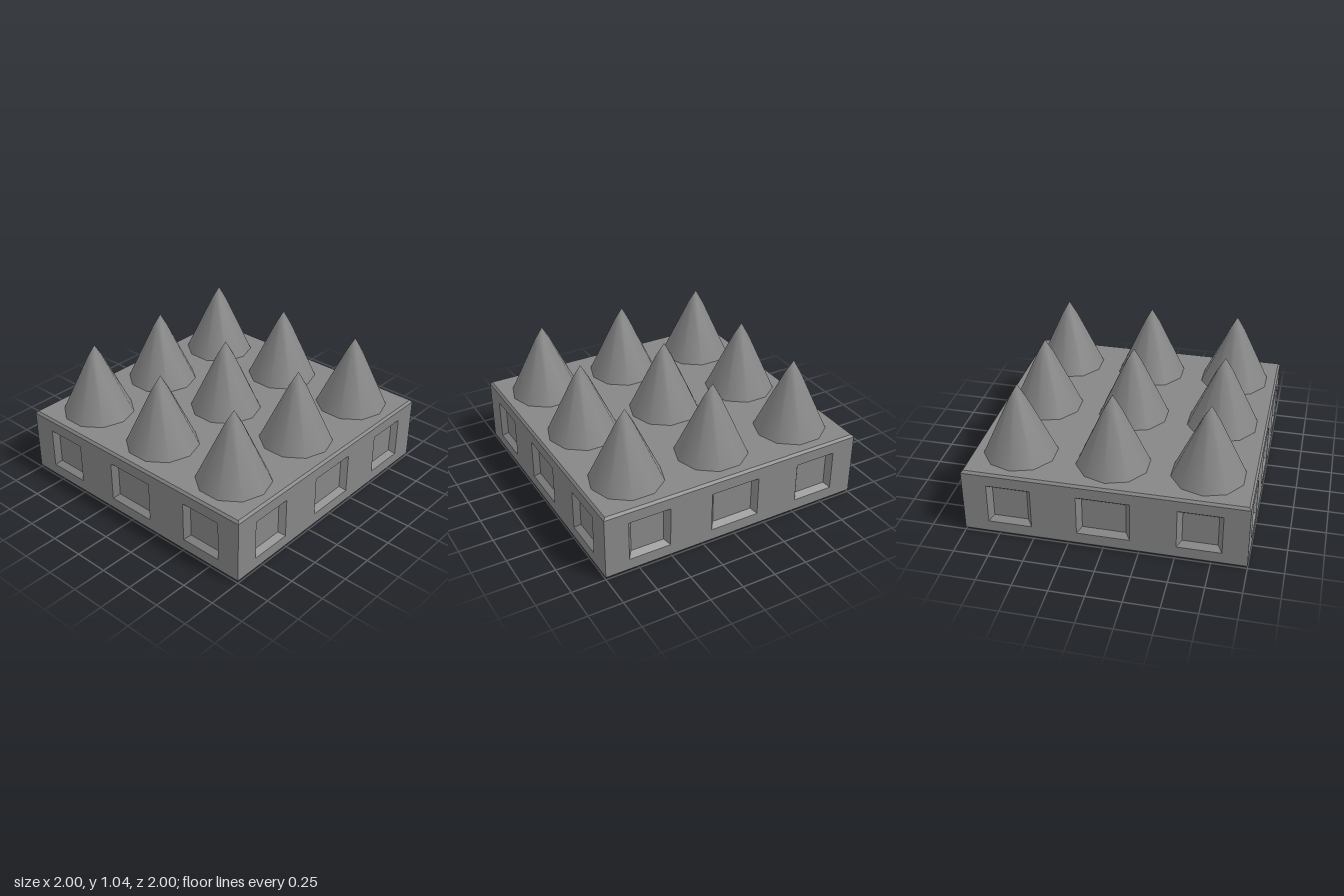
import * as THREE from 'three';
import { mergeVertices } from 'three/addons/utils/BufferGeometryUtils.js';

const HALF = 1, HEIGHT = 0.5, BEVEL = 0.018, INSET = 0.985;
const SPACING = 0.667, DEPTH = 0.04, RIM = 0.033;

const flat = new THREE.MeshStandardMaterial({ color: 0x868686, flatShading: true });
const smooth = new THREE.MeshStandardMaterial({ color: 0x868686 });

function part(name, geometry, material) {
  const mesh = new THREE.Mesh(geometry, material);
  mesh.name = name;
  return mesh;
}

// Rectangle corners, counter-clockwise seen from +z
function rect(cx, cy, w, h, z) {
  return [[-1, -1], [1, -1], [1, 1], [-1, 1]].map(
    ([sx, sy]) => new THREE.Vector3(cx + sx * w / 2, cy + sy * h / 2, z));
}

// Square cap with a bevelled rim, as a four-sided lathe
function squareCap(profile) {
  const points = profile.map(([half, y]) => new THREE.Vector2(half * Math.SQRT2, y));
  return new THREE.LatheGeometry(points, 4).rotateY(Math.PI / 4);
}

// Sloped walls and floor of one recessed window
function recessGeometry(cx, cy, w, h) {
  const outer = rect(cx, cy, w, h, HALF);
  const inner = rect(cx, cy, w - 2 * RIM, h - 2 * RIM, HALF - DEPTH);
  const points = [];
  const quad = (a, b, c, d) => points.push(a, b, c, a, c, d);
  for (let i = 0; i < 4; i++) {
    const j = (i + 1) % 4;
    quad(outer[i], outer[j], inner[j], inner[i]);
  }
  quad(...inner);
  const geometry = new THREE.BufferGeometry().setFromPoints(points);
  geometry.computeVertexNormals();
  return geometry;
}

// One wall of the base with three window recesses
function createSide(name) {
  const side = new THREE.Group();
  side.name = name;
  const midY = HEIGHT / 2;
  const wall = new THREE.Shape(rect(0, midY, 2 * HALF, HEIGHT - 2 * BEVEL, 0)
    .map(p => new THREE.Vector2(p.x, p.y)));
  for (const i of [-1, 0, 1]) {
    const w = i === 0 ? 0.375 : 0.313, h = 0.3;
    wall.holes.push(new THREE.Path(rect(i * SPACING, midY, w, h, 0)
      .map(p => new THREE.Vector2(p.x, p.y))));
    side.add(part('windowRecess', recessGeometry(i * SPACING, midY, w, h), flat));
  }
  side.add(part('wall', new THREE.ShapeGeometry(wall).translate(0, 0, HALF), flat));
  return side;
}

// Ten-sided spike with a blunter tip, its normals shared so the apex shades softly
function createSpikeGeometry() {
  const profile = [[0.262, HEIGHT], [0.06, 0.935], [0, 1.04]].map(p => new THREE.Vector2(...p));
  const lathe = new THREE.LatheGeometry(profile, 10).rotateY(Math.PI / 2);
  lathe.deleteAttribute('normal');
  lathe.deleteAttribute('uv');
  const geometry = mergeVertices(lathe);
  geometry.computeVertexNormals();
  return geometry;
}

export function createModel() {
  const model = new THREE.Group();
  model.name = 'spikedBlock';

  // Base block
  const base = new THREE.Group();
  base.name = 'base';
  ['frontSide', 'leftSide', 'backSide', 'rightSide'].forEach((name, i) => {
    const side = createSide(name);
    side.rotation.y = i * Math.PI / 2;
    base.add(side);
  });
  base.add(part('topPlate', squareCap([[HALF, HEIGHT - BEVEL], [INSET, HEIGHT], [0, HEIGHT]]), flat));
  base.add(part('bottomPlate', squareCap([[0, 0], [INSET, 0], [HALF, BEVEL]]), flat));
  model.add(base);

  // Three by three spikes
  const spikeGeometry = createSpikeGeometry();
  const spikes = new THREE.Group();
  spikes.name = 'spikes';
  for (const x of [-1, 0, 1]) {
    for (const z of [-1, 0, 1]) {
      const spike = part('spike', spikeGeometry, smooth);
      spike.position.set(x * SPACING, 0, z * SPACING);
      spikes.add(spike);
    }
  }
  model.add(spikes);
  return model;
}
